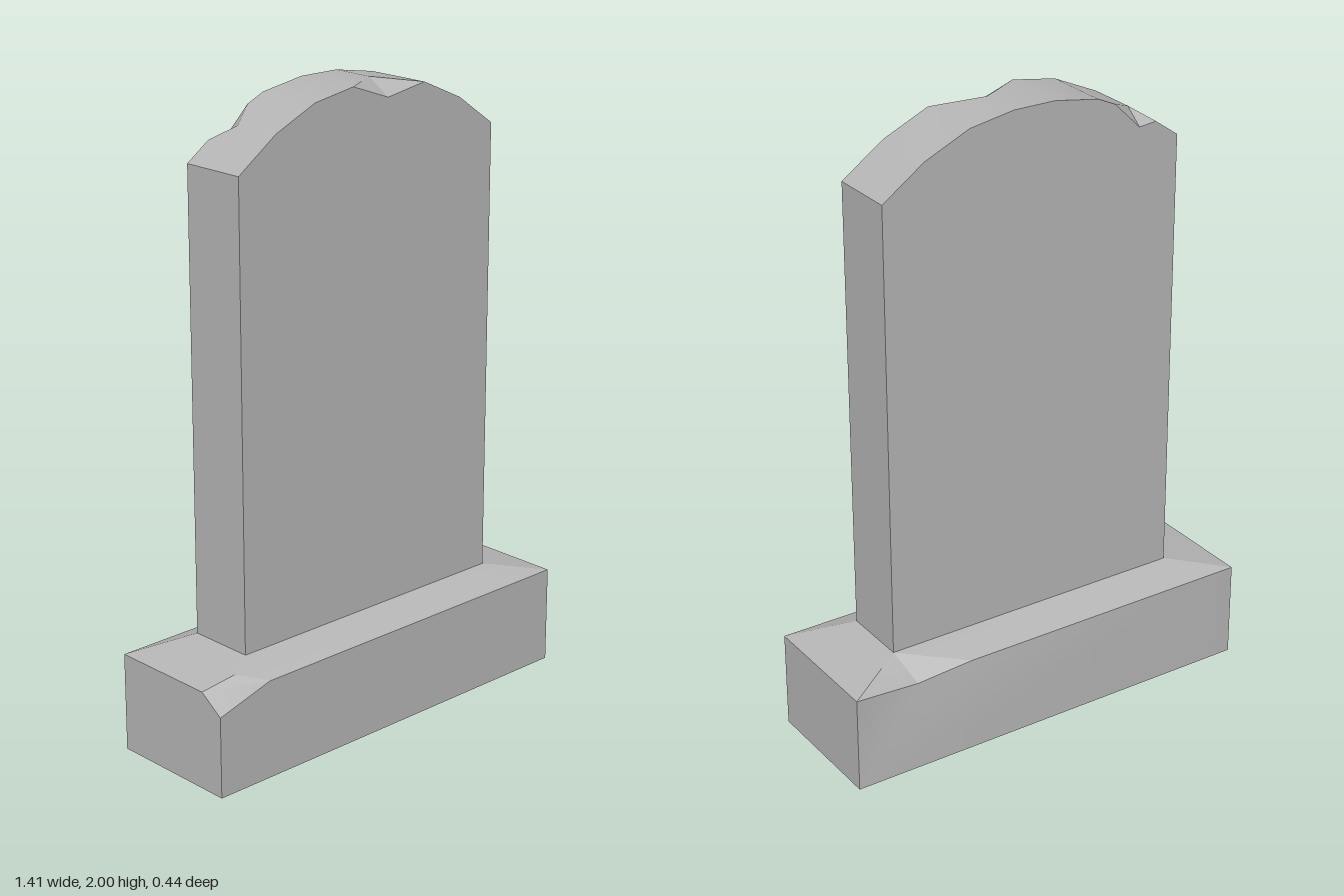
import * as THREE from 'three';
import { toCreasedNormals } from 'three/addons/utils/BufferGeometryUtils.js';

const stone = new THREE.MeshStandardMaterial({ color: 0xb4b4b4 });
stone.name = 'grey stone';

// Mesh from polygons (corners counter-clockwise from outside), each fanned from its first corner
function polyMesh(name, polygons) {
  const positions = [];
  for (const p of polygons) {
    for (let i = 1; i < p.length - 1; i++) positions.push(...p[0], ...p[i], ...p[i + 1]);
  }
  const geometry = new THREE.BufferGeometry();
  geometry.setAttribute('position', new THREE.Float32BufferAttribute(positions, 3));
  const mesh = new THREE.Mesh(toCreasedNormals(geometry, 0.35), stone);
  mesh.name = name;
  return mesh;
}

// Upright slab with an arched top and two chipped edges
function createSlab() {
  const d = 0.11, foot = 0.36;
  const arch = [[-0.51, 1.81], [-0.37, 1.908], [-0.22, 1.975], [-0.07, 2],
    [0.07, 2], [0.22, 1.975], [0.37, 1.908], [0.51, 1.81]];
  const F = arch.map(([x, y]) => [x, y, d]);
  const B = arch.map(([x, y]) => [x, y, -d]);

  // Front chip beside the crown
  const frontInner = [0.07, 2, 0.03];
  F[4] = [0.07, 1.95, d];
  // Back chip near the shoulder
  const backInner = [-0.37, 1.908, -0.05];
  const chipLow = [-0.43, 1.866, -d], chipHigh = [-0.28, 1.948, -d];
  B[1] = [-0.37, 1.86, -d];

  const fl = [-0.51, foot, d], fr = [0.51, foot, d];
  const bl = [-0.51, foot, -d], br = [0.51, foot, -d];
  const faces = [
    [fl, fr, ...[...F].reverse()],
    [br, bl, B[0], chipLow, B[1], chipHigh, ...B.slice(2)],
    [fr, br, B[7], F[7]],
    [bl, fl, F[0], B[0]],
    // Arch strips cut by the chips
    [F[0], F[1], backInner, chipLow, B[0]],
    [F[1], F[2], B[2], chipHigh, backInner],
    [F[3], frontInner, B[4], B[3]],
    [frontInner, F[5], B[5], B[4]],
    // Chip facets
    [F[3], F[4], frontInner],
    [F[4], F[5], frontInner],
    [chipLow, backInner, B[1]],
    [B[1], backInner, chipHigh],
  ];
  // Plain arch strips
  for (const i of [2, 5, 6]) faces.push([F[i], F[i + 1], B[i + 1], B[i]]);
  return polyMesh('slab', faces);
}

// Plinth with sloping shoulders, a broken front corner and a nicked back edge
function createPlinth() {
  const ring = (x, y, z) => [[-x, y, z], [x, y, z], [x, y, -z], [-x, y, -z]];
  const a = ring(0.705, 0, 0.22);
  const e = ring(0.705, 0.315, 0.22);
  const t = ring(0.51, 0.36, 0.11);
  const cornerLow = [-0.705, 0.26, 0.22], cornerFront = [-0.51, 0.315, 0.22];
  const cornerSide = [-0.705, 0.315, 0.14], cornerTop = [-0.595, 0.34, 0.157];
  const nick = [0.48, 0.287, -0.2], nickEnd = [0.3, 0.315, -0.22];
  return polyMesh('plinth', [
    [a[0], a[1], e[1], cornerFront, cornerLow],
    [a[1], a[2], e[2], e[1]],
    [a[2], a[3], e[3], nickEnd, nick, e[2]],
    [a[3], a[0], cornerLow, cornerSide, e[3]],
    [...a].reverse(),
    // Sloping shoulders
    [cornerFront, e[1], t[1], t[0], cornerTop],
    [e[1], e[2], t[2], t[1]],
    [t[2], e[2], nick, nickEnd, e[3], t[3]],
    [e[3], cornerSide, cornerTop, t[0], t[3]],
    // Broken corner
    [cornerSide, cornerLow, cornerFront, cornerTop],
  ]);
}

export function createModel() {
  const group = new THREE.Group();
  group.name = 'gravestone';
  group.add(createSlab(), createPlinth());
  return group;
}
